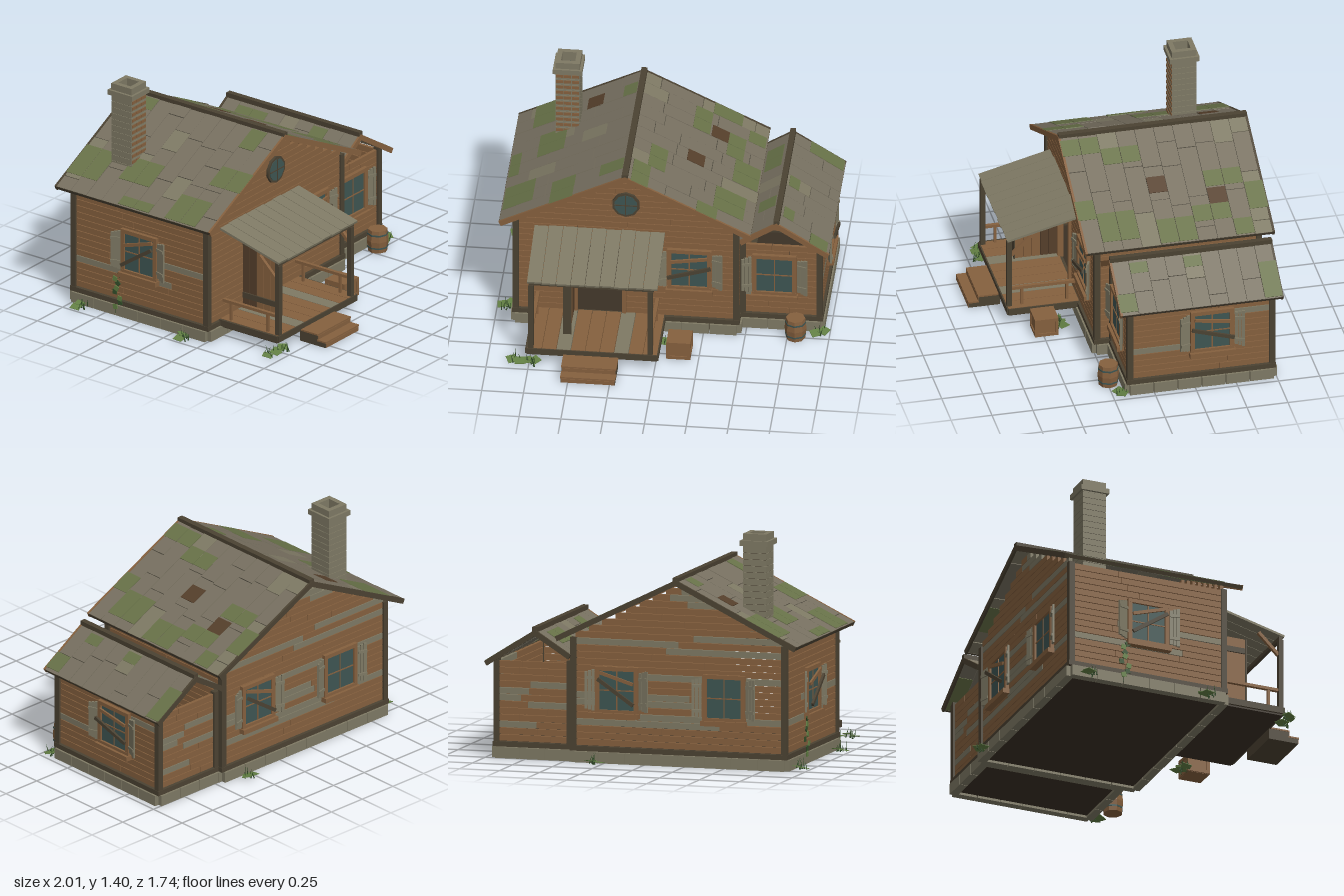
import * as THREE from 'three';

const mat = (name, color) => Object.assign(new THREE.MeshStandardMaterial({ color }), { name });
const brown = mat('brown wood', 0x85603e), grey = mat('weathered grey', 0x7e7964);
const dark = mat('dark timber', 0x4b4232), shingle = mat('roof shingle', 0x777060);
const moss = mat('moss', 0x687248), leaf = mat('leaf green', 0x627f43), glass = mat('blue grey', 0x3e5552);
const deep = mat('dark brown', 0x553f2b), soil = mat('underside', 0x3a3024), grass = mat('grass', 0x34502a);

let seed = 7;
const rnd = () => (seed = (seed * 16807) % 2147483647) / 2147483647;

function box(parent, m, w, h, d, x, y, z, name) {
  const mesh = new THREE.Mesh(new THREE.BoxGeometry(w, h, d), m);
  mesh.position.set(x, y, z);
  mesh.name = name;
  parent.add(mesh);
  return mesh;
}
function group(parent, name, x = 0, y = 0, z = 0, ry = 0) {
  const g = new THREE.Group();
  g.name = name;
  g.position.set(x, y, z);
  g.rotation.y = ry;
  parent.add(g);
  return g;
}

// Wall of horizontal boards facing local +z, with optional gable and door opening
function wall(root, name, w, top, x, z, ry, { gable, door, worn = 0.06 } = {}) {
  const g = group(root, name, x, 0, z, ry), pitch = 0.0405;
  for (let y = 0.1; y + pitch < (gable ? gable.apex : top + 0.01); y += pitch) {
    let half = w / 2;
    if (gable) half = Math.min(half, (gable.apex - y - pitch) / gable.slope);
    if (half < 0.02) break;
    const seam = (rnd() - 0.5) * half;
    const cuts = door && y < door.top ? [[-half, door.a], [door.b, half]] : [[-half, seam], [seam + 0.003, half]];
    for (const [a, b] of cuts)
      box(g, rnd() < worn ? grey : brown, b - a, 0.0365, 0.02, (a + b) / 2, y + pitch / 2, -0.01, 'wallBoard');
  }
}

// Window with frame, bars, shutters and optional nailed boards
function windowUnit(root, x, y, z, ry, boarded, tilt = 0.35) {
  const g = group(root, 'window', x, y, z, ry);
  box(g, glass, 0.22, 0.24, 0.008, 0, 0, 0.006, 'pane');
  for (const s of [-1, 1]) {
    box(g, brown, 0.025, 0.28, 0.025, s * 0.12, 0, 0.01, 'frameSide');
    box(g, brown, 0.265, 0.025, 0.027, 0, s * 0.13, 0.01, 'frameRail');
    const shutter = group(g, 'shutter', s * 0.168, 0.0, 0.022, -s * 0.3);
    for (let i = -1; i <= 1; i++)
      box(shutter, grey, 0.019, 0.235 + 0.012 * i, 0.012, i * 0.021, 0, 0, 'shutterSlat');
    for (const t of [-1, 1]) box(shutter, grey, 0.06, 0.018, 0.01, 0, t * 0.075, 0.008, 'shutterBatten');
  }
  box(g, brown, 0.007, 0.23, 0.008, 0, 0, 0.01, 'barUpright');
  box(g, brown, 0.22, 0.007, 0.008, 0, 0, 0.01, 'barAcross');
  box(g, brown, 0.28, 0.03, 0.05, 0, -0.15, 0.016, 'sill');
  if (boarded) {
    box(g, dark, 0.27, 0.022, 0.014, 0, -0.005, 0.045, 'nailedBoard').rotation.z = tilt;
    box(g, brown, 0.22, 0.02, 0.012, 0, 0.075, 0.028, 'nailedBoard').rotation.z = tilt * 0.5;
  }
}

// One roof slope of staggered shingles; patches are [material, x0, x1, first strip, last strip]
function slope(root, name, cx, ridge, run, grade, z0, z1, strips, side, patches) {
  const g = group(root, name, cx, ridge, 0), angle = Math.atan(grade);
  g.rotation.z = -side * angle;
  const len = run / Math.cos(angle), step = (z1 - z0) / strips;
  for (let i = 0; i < strips; i++) {
    for (let u = 0; u < len - 0.001;) {
      let n = u === 0 ? 0.08 + rnd() * 0.24 : 0.15 + rnd() * 0.2;
      if (u + n > len - 0.07) n = len - u;
      box(g, rnd() < 0.1 ? grey : shingle, n - 0.004, 0.018, step - 0.0025, side * (u + n / 2),
        -0.012 + rnd() * 0.003, z0 + step * (i + 0.5), 'shingle');
      u += n;
    }
  }
  for (const [m, x0, x1, a, b] of patches)
    for (let i = a; i <= b; i++)
      box(g, m, (x1 - x0) / Math.cos(angle), 0.024, step - 0.0035, ((x0 + x1) / 2 - cx) / Math.cos(angle),
        -0.0105, z0 + step * (i + 0.5), m === moss ? 'mossyShingle' : 'missingShingle');
  for (const [z, m] of [[z0 + 0.004, dark], [z1 - 0.004, brown]])
    box(g, m, len, 0.032, 0.014, side * len / 2, -0.016, z, 'rakeBoard');
  box(g, dark, 0.01, 0.022, z1 - z0, side * (len - 0.005), -0.014, (z0 + z1) / 2, 'eaveBoard');
}

// Ring of foundation stones, skirting, floor and corner posts
function foundation(root, name, x0, x1, z0, z1, top) {
  const g = group(root, name), cx = (x0 + x1) / 2, cz = (z0 + z1) / 2, w = x1 - x0, d = z1 - z0;
  box(g, soil, w - 0.01, 0.07, d - 0.01, cx, 0.05, cz, 'floor');
  for (const s of [-1, 1]) {
    const nx = Math.round(w / 0.16), nz = Math.round(d / 0.16);
    for (let i = 0; i < nx; i++)
      box(g, grey, w / nx - 0.004, 0.066, 0.05, x0 + (i + 0.5) * w / nx, 0.033, cz + s * (d / 2), 'stoneBlock');
    for (let i = 0; i < nz; i++)
      box(g, grey, 0.05, 0.066, d / nz - 0.004, cx + s * (w / 2), 0.033, z0 + (i + 0.5) * d / nz, 'stoneBlock');
    box(g, dark, w + 0.03, 0.03, 0.03, cx, 0.083, cz + s * d / 2, 'skirting');
    box(g, dark, 0.03, 0.03, d + 0.03, cx + s * w / 2, 0.083, cz, 'skirting');
    for (const t of [-1, 1])
      box(g, dark, 0.036, top - 0.07, 0.036, cx + s * (w / 2 - 0.006), (top + 0.07) / 2, cz + t * (d / 2 - 0.006), 'cornerPost');
  }
}

function tuft(root, x, z) {
  const g = group(root, 'grassTuft', x, 0, z);
  for (let i = 0; i < 6; i++) {
    const h = 0.045 + rnd() * 0.035;
    const blade = new THREE.Mesh(new THREE.ConeGeometry(0.005, h, 3), grass);
    blade.position.set((rnd() - 0.5) * 0.06, h / 2, (rnd() - 0.5) * 0.06);
    blade.rotation.set((rnd() - 0.5) * 0.7, 0, (rnd() - 0.5) * 0.7);
    blade.name = 'blade';
    g.add(blade);
    if (i < 2) box(g, leaf, 0.058, 0.003, 0.058, i * 0.05 - 0.025, 0.014 + i * 0.008, (rnd() - 0.5) * 0.05, 'leaf')
      .rotation.set(0.12, rnd() * 3, 0.12);
  }
}

export function createModel() {
  const root = new THREE.Group();
  root.name = 'cabin';
  const H = Math.PI / 2;

  // Main house
  foundation(root, 'mainFoundation', -0.88, 0.45, -0.76, 0.24, 0.75);
  const gable = { apex: 1.105, slope: 0.49 };
  wall(root, 'frontWall', 1.32, 0.75, -0.215, 0.24, 0, { gable, door: { a: -0.295, b: -0.015, top: 0.57 }, worn: 0.02 });
  wall(root, 'backWall', 1.32, 0.75, -0.215, -0.76, Math.PI, { gable, worn: 0.18 });
  wall(root, 'rightWall', 0.99, 0.74, 0.45, -0.26, H);
  wall(root, 'leftWall', 0.99, 0.74, -0.88, -0.26, -H);
  slope(root, 'mainRoofRight', -0.215, 1.13, 0.755, 0.493, -0.83, 0.32, 10, 1, [
    [deep, 0.22, 0.32, 2, 2], [deep, 0.11, 0.21, 5, 5], [moss, 0.21, 0.38, 0, 0], [moss, 0.43, 0.53, 1, 1],
    [moss, 0.11, 0.21, 1, 2], [moss, 0.32, 0.42, 2, 3], [moss, 0.38, 0.53, 4, 5], [moss, -0.1, 0, 6, 7],
    [moss, 0.3, 0.48, 7, 8], [moss, 0.21, 0.33, 9, 9], [moss, -0.18, -0.08, 8, 9]]);
  slope(root, 'mainRoofLeft', -0.215, 1.13, 0.755, 0.493, -0.83, 0.32, 10, -1, [
    [deep, -0.535, -0.44, 1, 1], [moss, -0.86, -0.65, 0, 1], [moss, -0.32, -0.24, 1, 1], [moss, -0.8, -0.64, 3, 4],
    [moss, -0.96, -0.9, 4, 5], [moss, -0.96, -0.78, 7, 8], [moss, -0.67, -0.53, 8, 9], [moss, -0.38, -0.24, 8, 8]]);
  box(root, dark, 0.036, 0.03, 1.15, -0.215, 1.128, -0.255, 'mainRidge');

  // Side annex with open gables
  foundation(root, 'annexFoundation', 0.47, 0.94, -0.73, 0.15, 0.6);
  wall(root, 'annexFront', 0.47, 0.58, 0.705, 0.15, 0);
  wall(root, 'annexBack', 0.47, 0.58, 0.705, -0.73, Math.PI, { worn: 0.2 });
  wall(root, 'annexSide', 0.87, 0.58, 0.94, -0.29, H);
  slope(root, 'annexRoofRight', 0.68, 0.785, 0.318, 0.635, -0.78, 0.21, 9, 1, [
    [moss, 0.9, 0.99, 0, 0], [moss, 0.79, 0.91, 0, 0], [moss, 0.71, 0.77, 4, 4], [moss, 0.71, 0.77, 7, 7], [moss, 0.88, 0.98, 8, 8]]);
  slope(root, 'annexRoofLeft', 0.68, 0.785, 0.225, 0.635, -0.78, 0.21, 9, -1, [
    [moss, 0.54, 0.64, 1, 2], [moss, 0.55, 0.65, 6, 6]]);
  box(root, dark, 0.034, 0.03, 0.99, 0.68, 0.786, -0.285, 'annexRidge');

  // Windows
  windowUnit(root, 0.165, 0.445, 0.24, 0, true, 0.3);
  windowUnit(root, 0.665, 0.38, 0.15, 0, false);
  windowUnit(root, 0.94, 0.38, -0.355, H, true, -0.3);
  windowUnit(root, 0.17, 0.44, -0.76, Math.PI, true, -0.6);
  windowUnit(root, -0.5, 0.42, -0.76, Math.PI, false);
  windowUnit(root, -0.88, 0.43, -0.26, -H, true, 0.6);

  // Round gable window
  const round = group(root, 'gableWindow', -0.215, 0.885, 0.245);
  for (const [r, d, m, name] of [[0.084, 0.02, dark, 'roundFrame'], [0.07, 0.026, glass, 'roundPane']]) {
    const disc = new THREE.Mesh(new THREE.CylinderGeometry(r, r, d, 10).rotateX(H), m);
    disc.name = name;
    round.add(disc);
  }
  box(round, dark, 0.006, 0.14, 0.006, 0, 0, 0.014, 'barUpright');
  box(round, dark, 0.14, 0.006, 0.006, 0, 0, 0.014, 'barAcross');

  // Chimney with hollow cap and brick face
  const ch = group(root, 'chimney', -0.637, 0, -0.53);
  for (let i = 0; i < 14; i++) {
    const y = 0.78 + i * 0.0385;
    box(ch, grey, 0.144, 0.036, 0.15, 0, y + 0.018, 0, 'stoneCourse');
    for (let k = -1; k <= 1; k++) box(ch, brown, 0.043, 0.019, 0.004, k * 0.047, y + 0.02, 0.076, 'brick');
  }
  box(ch, dark, 0.136, 0.6, 0.142, 0, 1.02, 0, 'mortarCore');
  for (const s of [-1, 1]) {
    for (const [w, t, h, y] of [[0.175, 0.035, 0.032, 1.338], [0.145, 0.03, 0.08, 1.355]]) {
      box(ch, grey, t, h, w + 0.006, s * (w - t) / 2, y, 0, 'capSide');
      box(ch, grey, w, h, t, 0, y, s * (w + 0.006 - t) / 2, 'capSide');
    }
  }
  box(ch, glass, 0.09, 0.006, 0.09, 0, 1.33, 0, 'flue');

  // Porch deck
  const porch = group(root, 'porch');
  box(porch, soil, 0.77, 0.03, 0.42, -0.375, 0.07, 0.455, 'deckFrame');
  for (let i = 0; i < 9; i++)
    box(porch, i % 4 === 2 ? grey : brown, 0.083, 0.022, 0.43, -0.717 + i * 0.0863, 0.096, 0.46, 'deckBoard');
  box(porch, dark, 0.78, 0.04, 0.014, -0.375, 0.085, 0.676, 'deckEdge');
  for (const x of [-0.766, 0.016]) box(porch, dark, 0.014, 0.04, 0.43, x, 0.085, 0.46, 'deckEdge');

  // Steps with dark sides and brown treads
  for (const [y, z, d] of [[0.038, 0.835, 0.06], [0.074, 0.74, 0.13]]) {
    box(porch, dark, 0.325, y - 0.008, d, -0.38, (y - 0.008) / 2, z, 'stepBody');
    box(porch, brown, 0.33, 0.01, d + 0.006, -0.38, y - 0.003, z, 'stepTread');
    box(porch, brown, 0.32, y - 0.012, 0.006, -0.38, (y - 0.008) / 2, z + d / 2, 'stepRiser');
  }

  // Porch posts, braces and rails
  for (const x of [-0.74, -0.025]) {
    box(porch, dark, 0.03, 0.45, 0.03, x, 0.33, 0.662, 'porchPost');
    box(porch, brown, 0.02, 0.18, 0.02, x, 0.52, 0.585, 'brace').rotation.x = -0.8;
    box(porch, brown, 0.022, 0.018, 0.4, x, 0.225, 0.455, 'rail');
    for (const z of [0.31, 0.585]) box(porch, brown, 0.016, 0.11, 0.016, x, 0.16, z, 'baluster');
  }
  box(porch, dark, 0.75, 0.022, 0.022, -0.38, 0.565, 0.66, 'porchBeam');

  // Porch roof boards
  const awning = group(root, 'porchRoof', -0.372, 0.634, 0.462);
  awning.rotation.x = 0.252;
  for (let i = 0; i < 9; i++)
    box(awning, grey, 0.084, 0.014, 0.455 + (rnd() - 0.5) * 0.012, -0.348 + i * 0.087, 0, 0, 'roofBoard');

  // Open door and its frame
  const door = group(root, 'door', -0.538, 0.365, 0.385);
  for (let i = 0; i < 5; i++)
    box(door, i < 2 ? deep : brown, 0.03, 0.5, 0.049, 0, 0, -0.104 + i * 0.052, 'doorPlank');
  box(door, dark, 0.05, 0.5, 0.008, 0, 0, 0.133, 'doorEdge');
  for (const y of [-0.17, 0.17]) box(door, dark, 0.012, 0.035, 0.25, -0.018, y, 0, 'doorBatten');
  for (const x of [-0.515, -0.225]) box(root, brown, 0.024, 0.5, 0.035, x, 0.35, 0.24, 'doorJamb');
  box(root, brown, 0.32, 0.026, 0.035, -0.37, 0.605, 0.24, 'doorLintel');

  // Crate
  const crate = group(root, 'crate', 0.13, 0, 0.483);
  box(crate, brown, 0.13, 0.116, 0.13, 0, 0.058, 0, 'crateBody');
  for (const y of [0.012, 0.108]) box(crate, brown, 0.144, 0.02, 0.144, 0, y, 0, 'crateBand');
  for (const sx of [-1, 1]) for (const sz of [-1, 1])
    box(crate, brown, 0.02, 0.11, 0.02, sx * 0.062, 0.058, sz * 0.062, 'crateCorner');

  // Barrel
  const barrel = group(root, 'barrel', 0.8, 0, 0.245);
  for (const [r0, r1, h, y, m, name] of [[0.066, 0.058, 0.07, 0.035, brown, 'lowerStaves'], [0.058, 0.066, 0.07, 0.105, brown, 'upperStaves'],
    [0.0635, 0.0635, 0.01, 0.03, glass, 'hoop'], [0.0635, 0.0635, 0.01, 0.112, glass, 'hoop']]) {
    const ring = new THREE.Mesh(new THREE.CylinderGeometry(r0, r1, h, 8).toNonIndexed(), m);
    ring.geometry.computeVertexNormals();
    ring.position.y = y;
    ring.name = name;
    barrel.add(ring);
  }

  // Grass tufts and wall vine
  for (const [x, z] of [[-0.83, 0.665], [-0.74, 0.69], [0.06, 0.405], [0.11, 0.385], [0.94, 0.2], [0.29, -0.83], [-0.945, -0.65], [-0.945, 0.11]])
    tuft(root, x, z);
  const vine = group(root, 'vine', -0.9, 0, -0.42);
  for (let i = 0; i < 9; i++)
    box(vine, i % 2 ? leaf : grass, 0.006, 0.03, 0.03, -0.01 * (i % 2), 0.03 + i * 0.03, (rnd() - 0.5) * 0.07, 'vineLeaf').rotation.x = rnd() * 3;

  return root;
}
